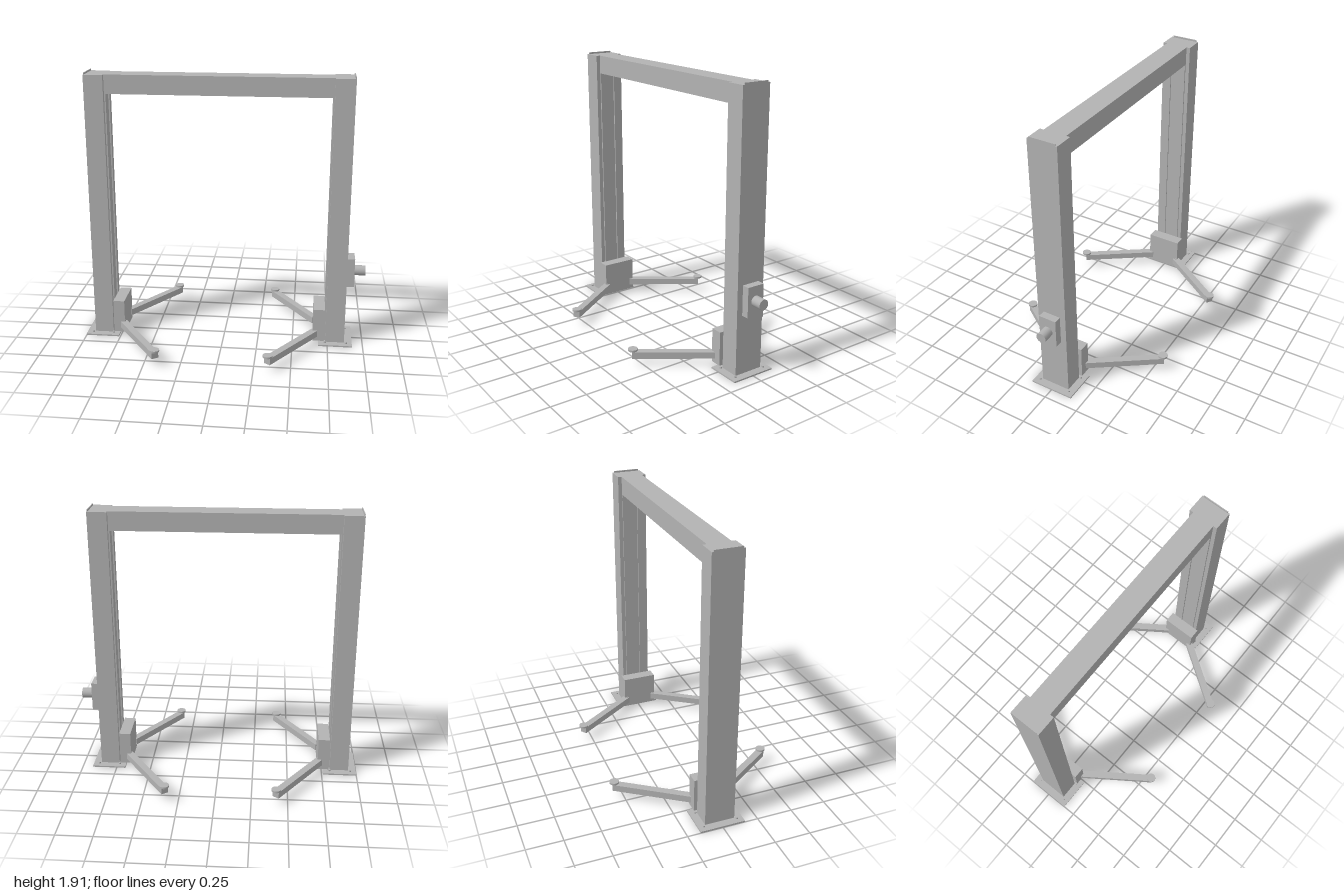
import * as THREE from 'three';

export function createModel() {
  const root = new THREE.Group();
  root.name = 'twoPostLift';
  const steel = new THREE.MeshStandardMaterial({ color: 0xb2b2b2 });
  steel.name = 'grey steel';

  const add = (parent, name, geometry, x, y, z) => {
    const mesh = new THREE.Mesh(geometry, steel);
    mesh.name = name;
    mesh.position.set(x, y, z);
    parent.add(mesh);
    return mesh;
  };
  // Box from its extents along each axis
  const box = (parent, name, [x0, x1], [y0, y1], [z0, z1]) =>
    add(parent, name,
      new THREE.BoxGeometry(Math.abs(x1 - x0), y1 - y0, Math.abs(z1 - z0)),
      (x0 + x1) / 2, (y0 + y1) / 2, (z0 + z1) / 2);
  // Upright cylinder between two heights
  const disc = (parent, name, r, x, y0, y1, z) =>
    add(parent, name, new THREE.CylinderGeometry(r, r, y1 - y0, 24), x, (y0 + y1) / 2, z);

  // Posts are symmetric about this frame; the motor offsets it from the middle
  const frame = new THREE.Group();
  frame.name = 'frame';
  frame.position.x = -0.0375;
  root.add(frame);

  box(frame, 'crossBeam', [-0.773, 0.773], [1.766, 1.897], [-0.078, 0.078]);

  for (const s of [-1, 1]) {
    const post = new THREE.Group();
    post.name = s > 0 ? 'leftPost' : 'rightPost';
    frame.add(post);
    const span = (a, b) => [s * a, s * b];

    box(post, 'basePlate', span(0.7225, 0.9625), [0, 0.01], [-0.158, 0.158]);
    box(post, 'column', span(0.773, 0.907), [0.01, 1.897], [-0.105, 0.105]);
    box(post, 'topLip', span(0.901, 0.907), [1.897, 1.909], [-0.092, 0.092]);
    box(post, 'carriage', span(0.682, 0.763), [0.025, 0.265], [-0.124, 0.124]);

    for (const t of [-1, 1]) {
      box(post, 'guideRail', span(0.763, 0.773), [0.01, 1.766], [t * 0.035, t * 0.077]);
      for (const x of [0.77, 0.92]) disc(post, 'anchorBolt', 0.008, s * x, 0.01, 0.02, t * 0.118);

      // Swing arm from the carriage pivot out to the lifting pad
      const from = new THREE.Vector2(s * 0.693, t * 0.11);
      const to = new THREE.Vector2(s * 0.3825, t * 0.556);
      const run = to.clone().sub(from);
      const arm = add(post, 'swingArm', new THREE.BoxGeometry(0.05, 0.047, run.length() + 0.012),
        (from.x + to.x) / 2, 0.0795, (from.y + to.y) / 2);
      arm.rotation.y = Math.atan2(run.x, run.y);
      disc(post, 'pivotPin', 0.014, from.x, 0.05, 0.109, from.y);
      disc(post, 'padStem', 0.016, to.x, 0.1, 0.108, to.y);
      disc(post, 'liftPad', 0.033, to.x, 0.107, 0.12, to.y);
    }
  }

  // Power unit on the outside of one post
  box(root, 'powerUnit', [0.869, 0.922], [0.425, 0.633], [-0.063, 0.063]);
  const motor = add(root, 'motor', new THREE.CylinderGeometry(0.036, 0.036, 0.078, 24), 0.961, 0.53, 0);
  motor.rotation.z = Math.PI / 2;

  return root;
}
